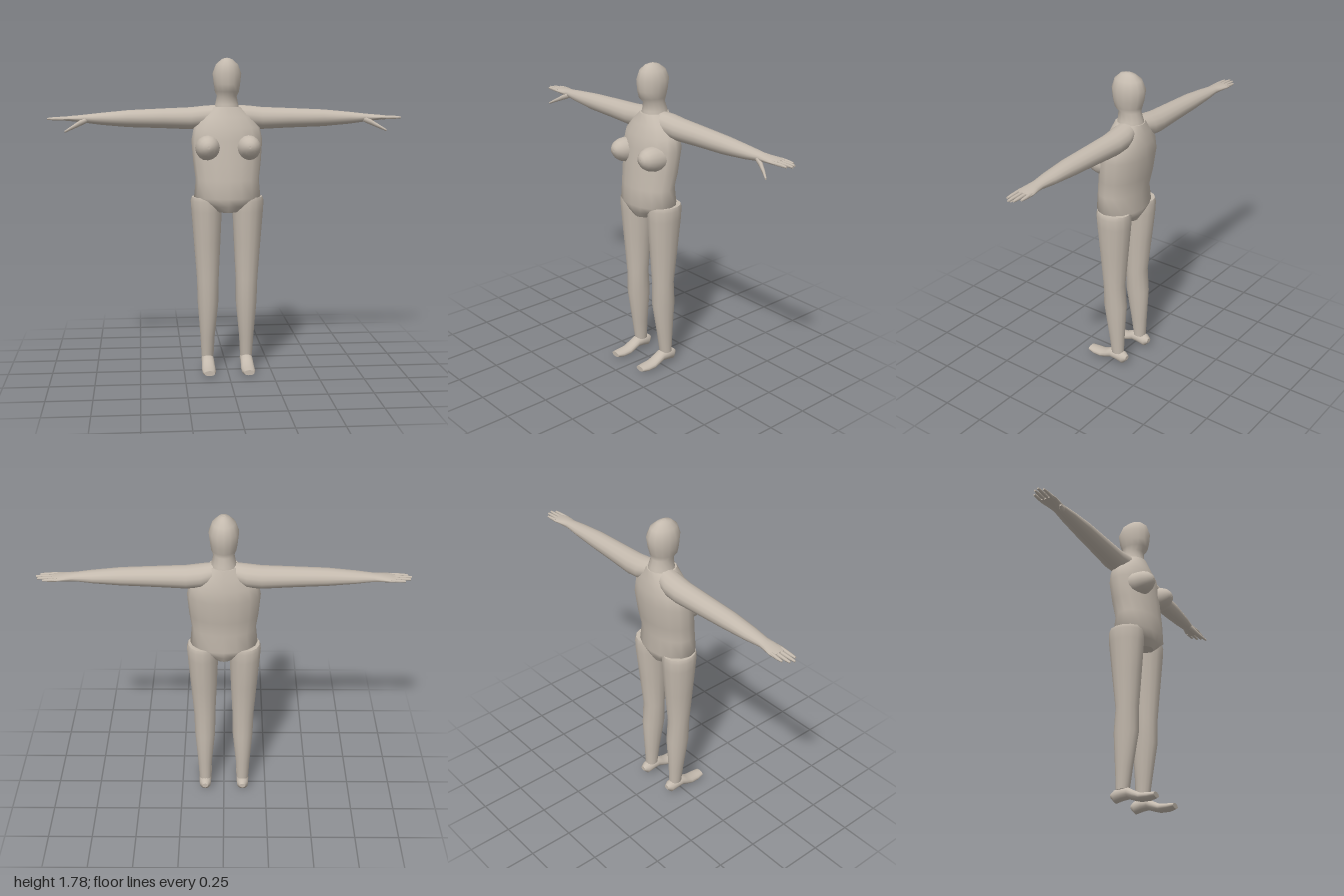
import * as THREE from 'three';

// Skin lofted over elliptical sections with flat end caps.
// Each section is [position, uMin, uMax, vMin, vMax] where (axis, u, v) is
// (x, y, z), (y, z, x) or (z, x, y).
function loft(axis, sections, sides = 14) {
  const k = 'xyz'.indexOf(axis);
  const pos = [], index = [];
  const put = (a, u, v) => {
    const p = [0, 0, 0];
    p[k] = a; p[(k + 1) % 3] = u; p[(k + 2) % 3] = v;
    pos.push(...p);
    return pos.length / 3 - 1;
  };
  const ring = ([a, u0, u1, v0, v1]) => {
    const start = pos.length / 3;
    for (let j = 0; j < sides; j++) {
      const t = (j / sides) * Math.PI * 2;
      put(a, (u0 + u1) / 2 + ((u1 - u0) / 2) * Math.cos(t), (v0 + v1) / 2 + ((v1 - v0) / 2) * Math.sin(t));
    }
    return start;
  };
  const starts = sections.map(ring);
  for (let i = 0; i < starts.length - 1; i++) {
    for (let j = 0; j < sides; j++) {
      const n = (j + 1) % sides, s = starts[i], e = starts[i + 1];
      index.push(s + j, s + n, e + j, s + n, e + n, e + j);
    }
  }
  for (const [s, top] of [[sections[0], false], [sections[sections.length - 1], true]]) {
    const r = ring(s);
    const c = put(s[0], (s[1] + s[2]) / 2, (s[3] + s[4]) / 2);
    for (let j = 0; j < sides; j++) {
      const n = (j + 1) % sides;
      if (top) index.push(c, r + j, r + n);
      else index.push(c, r + n, r + j);
    }
  }
  const g = new THREE.BufferGeometry();
  g.setAttribute('position', new THREE.Float32BufferAttribute(pos, 3));
  g.setIndex(index);
  g.computeVertexNormals();
  return g;
}

// Mirrored copy across x = 0 with the corner order restored
function mirrored(geometry) {
  const g = geometry.clone().scale(-1, 1, 1);
  const a = g.index.array;
  for (let i = 0; i < a.length; i += 3) [a[i], a[i + 1]] = [a[i + 1], a[i]];
  return g;
}

export function createModel() {
  const model = new THREE.Group();
  model.name = 'mannequin';
  const clay = new THREE.MeshStandardMaterial({ color: 0xc4baae });
  clay.name = 'warm clay';

  const add = (name, geometry) => {
    const mesh = new THREE.Mesh(geometry, clay);
    mesh.name = name;
    model.add(mesh);
  };
  const addPair = (name, geometry) => {
    add('left' + name, geometry);
    add('right' + name, mirrored(geometry));
  };

  // Torso, from crotch to shoulders
  add('torso', loft('y', [
    [0.93, -0.09, 0.085, -0.065, 0.065],
    [0.965, -0.11, 0.108, -0.12, 0.12],
    [1.01, -0.13, 0.126, -0.188, 0.188],
    [1.11, -0.12, 0.122, -0.178, 0.178],
    [1.2, -0.138, 0.11, -0.19, 0.19],
    [1.33, -0.155, 0.098, -0.2, 0.2],
    [1.4, -0.15, 0.085, -0.186, 0.186],
    [1.46, -0.14, 0.06, -0.14, 0.14],
    [1.515, -0.125, 0.04, -0.078, 0.078],
  ], 16));

  // Neck and head
  add('neckAndHead', loft('y', [
    [1.48, -0.125, 0.035, -0.078, 0.078],
    [1.53, -0.118, 0.028, -0.065, 0.065],
    [1.575, -0.102, 0.024, -0.056, 0.056],
    [1.6, -0.108, 0.05, -0.068, 0.068],
    [1.64, -0.12, 0.06, -0.074, 0.074],
    [1.7, -0.128, 0.065, -0.081, 0.081],
    [1.75, -0.108, 0.05, -0.062, 0.062],
    [1.778, -0.07, 0.018, -0.03, 0.03],
    [1.786, -0.04, -0.015, -0.01, 0.01],
  ]));

  // Breasts
  addPair('Breast', loft('z', [
    [0.0, 0.042, 0.182, 1.22, 1.36],
    [0.065, 0.042, 0.182, 1.22, 1.362],
    [0.1, 0.05, 0.177, 1.23, 1.36],
    [0.13, 0.064, 0.164, 1.247, 1.348],
    [0.15, 0.084, 0.143, 1.272, 1.328],
    [0.154, 0.104, 0.122, 1.292, 1.308],
  ], 16));

  // Arms
  addPair('Arm', loft('x', [
    [0.05, 1.42, 1.525, -0.115, 0.01],
    [0.12, 1.395, 1.521, -0.13, 0.01],
    [0.2, 1.388, 1.512, -0.13, 0.005],
    [0.35, 1.395, 1.506, -0.122, 0.0],
    [0.55, 1.402, 1.497, -0.112, -0.004],
    [0.7, 1.415, 1.483, -0.105, -0.015],
    [0.79, 1.427, 1.473, -0.098, -0.028],
    [0.83, 1.432, 1.469, -0.106, -0.024],
    [0.88, 1.437, 1.465, -0.118, -0.02],
    [0.91, 1.44, 1.46, -0.116, -0.025],
  ]));

  // Fingers: [z at the knuckle, z at the tip, tip x]
  [[-0.036, -0.037, 0.98], [-0.06, -0.06, 1.0], [-0.083, -0.084, 0.99], [-0.104, -0.107, 0.96]].forEach(([z0, z1, tip], i) => {
    addPair('Finger' + (i + 1), loft('x', [
      [0.885, 1.44, 1.462, z0 - 0.011, z0 + 0.011],
      [tip - 0.03, 1.442, 1.459, z1 - 0.009, z1 + 0.009],
      [tip, 1.444, 1.455, z1 - 0.006, z1 + 0.006],
    ], 8));
  });

  // Thumbs, angled down and forward
  addPair('Thumb', loft('x', [
    [0.775, 1.43, 1.465, -0.06, -0.03],
    [0.82, 1.41, 1.442, -0.042, -0.014],
    [0.865, 1.391, 1.412, -0.014, 0.006],
    [0.9, 1.376, 1.388, 0.012, 0.025],
  ], 8));

  // Legs
  addPair('Leg', loft('y', [
    [0.08, -0.075, 0.0, 0.077, 0.147],
    [0.2, -0.08, 0.018, 0.07, 0.154],
    [0.4, -0.09, 0.05, 0.05, 0.17],
    [0.54, -0.078, 0.05, 0.048, 0.174],
    [0.75, -0.1, 0.068, 0.038, 0.19],
    [0.93, -0.118, 0.083, 0.03, 0.204],
    [0.99, -0.12, 0.086, 0.026, 0.208],
    [1.012, -0.115, 0.08, 0.034, 0.2],
  ]));

  // Feet, heel to toe
  addPair('Foot', loft('z', [
    [-0.104, 0.095, 0.129, 0.042, 0.07],
    [-0.08, 0.079, 0.145, 0.015, 0.088],
    [-0.035, 0.076, 0.148, 0.025, 0.092],
    [0.0, 0.076, 0.148, 0.028, 0.09],
    [0.035, 0.075, 0.149, 0.015, 0.07],
    [0.07, 0.073, 0.151, 0.004, 0.052],
    [0.12, 0.074, 0.15, 0.004, 0.047],
    [0.16, 0.082, 0.142, 0.014, 0.044],
  ]));

  // Rest the soles on the ground
  model.children.forEach((m) => m.geometry.translate(0, -0.004, 0));
  return model;
}
